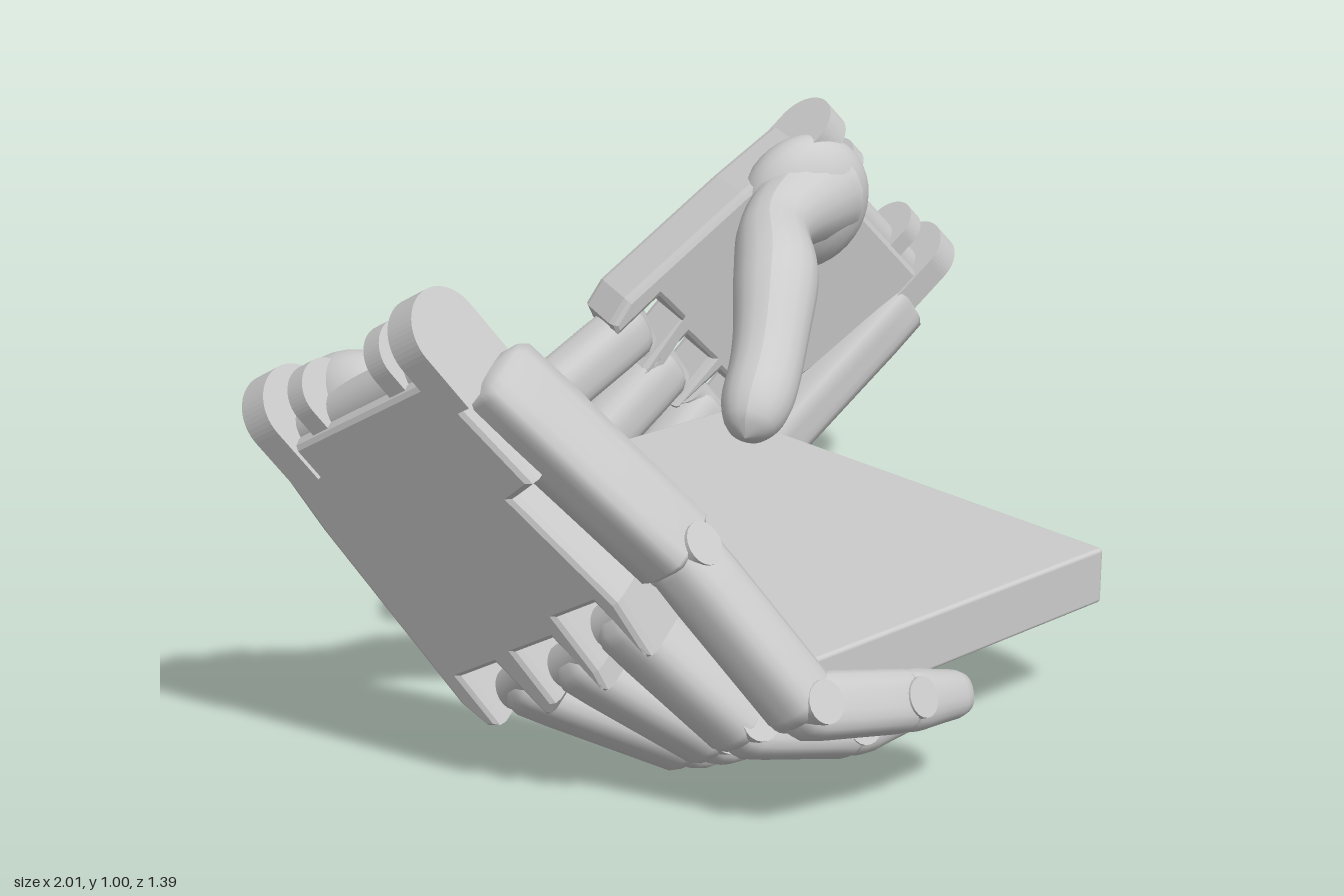
import * as THREE from 'three';
import { RoundedBoxGeometry } from 'three/addons/geometries/RoundedBoxGeometry.js';

const material = new THREE.MeshStandardMaterial({ color: 0xcccccc });
const V = (p) => new THREE.Vector3(...p);

function add(parent, name, geometry) {
  const mesh = new THREE.Mesh(geometry, material);
  mesh.name = name;
  parent.add(mesh);
  return mesh;
}

// Right-handed frame at origin: y runs along dir, x stays as near as possible to side
function frame(origin, dir, side) {
  const y = dir.clone().normalize();
  const x = side.clone().addScaledVector(y, -side.dot(y)).normalize();
  return new THREE.Matrix4().makeBasis(x, y, x.clone().cross(y)).setPosition(origin);
}

// Tapered limb between two points with a squared-off round section and domed ends
function limb(a, b, r0, r1, side, power, dome, flat = 0.92) {
  const L = a.distanceTo(b);
  const profile = [
    [0, -dome * r0], [0.55 * r0, -dome * 0.88 * r0], [0.85 * r0, -dome * 0.5 * r0], [r0 * 0.98, 0],
    [r0, 0.2 * L], [r0 * 0.45 + r1 * 0.55, 0.6 * L], [r1, L],
    [0.85 * r1, L + dome * 0.5 * r1], [0.55 * r1, L + dome * 0.88 * r1], [0, L + dome * r1],
  ].map(([x, y]) => new THREE.Vector2(x, y));
  const g = new THREE.LatheGeometry(profile, 24);
  const p = g.attributes.position;
  for (let i = 0; i < p.count; i++) {
    const x = p.getX(i), z = p.getZ(i), r = Math.hypot(x, z);
    if (r < 1e-6) continue;
    const k = Math.pow(Math.abs(x / r) ** power + Math.abs(z / r) ** power, -1 / power);
    p.setX(i, x * k * flat);
    p.setZ(i, z * k * 0.92);
  }
  g.computeVertexNormals();
  return g.applyMatrix4(frame(a, b.clone().sub(a), side));
}

// Hinge pin across a joint
function pin(at, dir, side, r, width) {
  const g = new THREE.CylinderGeometry(r, r, width, 20);
  g.rotateZ(Math.PI / 2);
  return g.applyMatrix4(frame(at, dir, side));
}

// Finger: chain of limbs with hinge pins at the joints
function finger(parent, name, points, radii, side) {
  const group = new THREE.Group();
  group.name = name;
  const pts = points.map(V);
  for (let i = 0; i < pts.length - 1; i++) {
    const dir = pts[i + 1].clone().sub(pts[i]);
    const last = i === pts.length - 2;
    const start = pts[i].clone().addScaledVector(dir, 0.04);
    const end = pts[i + 1].clone().addScaledVector(dir, last ? 0 : -0.04);
    add(group, 'segment', limb(start, end, radii[i], radii[i + 1], side, last ? 2.5 : 3.2, last ? 0.9 : 0.6));
    add(group, 'hingePin', pin(pts[i], dir, side, radii[i] * 0.6, radii[i] * 1.86));
  }
  parent.add(group);
}

// Thumb: one curved tube, flared at the root, swollen at the joint, closed in a blunt tip
function thumbTube(points) {
  const curve = new THREE.CatmullRomCurve3(points.map(V), false, 'centripetal');
  const rings = 48, sides = 18;
  const g = new THREE.TubeGeometry(curve, rings, 1, sides);
  const p = g.attributes.position;
  const v = new THREE.Vector3();
  for (let i = 0; i <= rings; i++) {
    const t = i / rings, centre = curve.getPointAt(t);
    const body = 0.072 + 0.014 * Math.exp(-(((t - 0.5) / 0.16) ** 2)) + 0.04 * Math.max(0, 1 - t / 0.28) ** 1.5;
    const tip = Math.sqrt(Math.max(0, 1 - Math.max(0, (t - 0.84) / 0.16) ** 2.4));
    for (let j = 0; j <= sides; j++) {
      const n = i * (sides + 1) + j;
      v.fromBufferAttribute(p, n).sub(centre).multiplyScalar(body * tip).add(centre);
      p.setXYZ(n, v.x, v.y, v.z);
    }
  }
  g.computeVertexNormals();
  return g;
}

// Wrist lobe: a stadium plate standing across the palm
function lobe(r, width) {
  const s = new THREE.Shape();
  s.moveTo(r, 0.07);
  s.lineTo(r, -0.035);
  s.absarc(0, -0.035, r, 0, Math.PI, true);
  s.lineTo(-r, 0.07);
  const g = new THREE.ExtrudeGeometry(s, { depth: width, bevelEnabled: false, curveSegments: 14 });
  g.translate(0, 0, -width / 2);
  return g.rotateY(Math.PI / 2);
}

function hand({ name, wristThumb, wristLittle, fingers, thumb, facing }) {
  const group = new THREE.Group();
  group.name = name;
  const wt = V(wristThumb), wl = V(wristLittle);
  const side = wl.clone().sub(wt);
  const width = side.length();
  side.normalize();
  const m = frame(wt, V(fingers.index[0]).sub(wt), side);
  const inv = m.clone().invert();
  const local = (p) => V(p).applyMatrix4(inv);

  // Palm plate with a slot for each of three fingers and webs between them
  const knuckleLittle = local(fingers.little[0]);
  const s = new THREE.Shape();
  s.moveTo(-0.04, 0.0);
  s.lineTo(width, 0.0);
  s.lineTo(width + 0.02, 0.24);
  s.lineTo(width - 0.04, 0.25);
  s.lineTo(knuckleLittle.x - 0.065, knuckleLittle.y - 0.02);
  for (const f of ['ring', 'middle', 'index']) {
    const k = local(fingers[f][0]);
    s.lineTo(k.x + 0.07, k.y + 0.05);
    s.lineTo(k.x + 0.055, k.y + 0.05);
    s.lineTo(k.x + 0.045, k.y - 0.08);
    s.lineTo(k.x - 0.045, k.y - 0.08);
    s.lineTo(k.x - 0.055, k.y + 0.04);
  }
  const outer = local(fingers.index[0]);
  s.lineTo(outer.x - 0.085, outer.y + 0.03);
  s.lineTo(outer.x - 0.1, outer.y - 0.03);
  s.lineTo(-0.065, 0.16);
  const plate = new THREE.ExtrudeGeometry(s, {
    depth: 0.1, bevelThickness: 0.018, bevelSize: 0.012, bevelOffset: -0.012, bevelSegments: 2,
  });
  plate.translate(0, 0, -0.05);
  add(group, 'palm', plate.applyMatrix4(m));

  // Forked wrist
  for (const [t, r, w] of [[0, 0.075, 0.06], [0.24, 0.058, 0.04], [0.76, 0.058, 0.04], [1, 0.075, 0.06]]) {
    add(group, 'wristLobe', lobe(r, w).translate(t * width, 0, 0).applyMatrix4(m));
  }
  const core = new THREE.CylinderGeometry(0.045, 0.045, width, 20).rotateZ(Math.PI / 2);
  add(group, 'wristCore', core.translate(width / 2, 0.01, 0).applyMatrix4(m));

  // Side bar that carries the little finger
  const barStart = new THREE.Vector3(width + 0.02, 0.08, 0.02 * facing).applyMatrix4(m);
  const barEnd = V(fingers.little[0]).lerp(barStart, 0.04);
  add(group, 'sideBar', limb(barStart, barEnd, 0.076, 0.074, side, 7, 0.3, 0.72));

  // Flattened dome that carries the thumb
  const dome = new THREE.SphereGeometry(0.15, 28, 20).scale(0.98, 1, 0.64);
  add(group, 'thumbMount', dome.translate(0.075, 0.075, 0.05 * facing).applyMatrix4(m));
  add(group, 'thumb', thumbTube(thumb));

  for (const [f, pts] of Object.entries(fingers)) {
    finger(group, f + 'Finger', pts, [0.064, 0.063, 0.06, 0.048], side);
  }
  return group;
}

export function createModel() {
  const model = new THREE.Group();
  model.name = 'handsHoldingSlab';

  // Slab held between the hands
  add(model, 'slab', new RoundedBoxGeometry(0.75, 0.11, 1.07, 2, 0.008)).position.set(0.025, 0.27, 0.037);

  model.add(hand({
    name: 'rightHand',
    facing: 1,
    wristThumb: [-0.905, 0.7, -0.1],
    wristLittle: [-0.815, 0.855, 0.25],
    fingers: {
      index: [[-0.62, 0.22, 0.12], [-0.365, 0.07, 0.265], [-0.2, 0.095, 0.285], [-0.07, 0.125, 0.285]],
      middle: [[-0.6, 0.3, 0.25], [-0.4, 0.13, 0.37], [-0.2, 0.13, 0.395], [-0.06, 0.14, 0.4]],
      ring: [[-0.58, 0.4, 0.35], [-0.42, 0.19, 0.47], [-0.22, 0.14, 0.52], [-0.08, 0.14, 0.53]],
      little: [[-0.54, 0.53, 0.45], [-0.41, 0.27, 0.61], [-0.2, 0.22, 0.63], [-0.07, 0.19, 0.625]],
    },
    thumb: [[-0.78, 0.66, -0.04], [-0.62, 0.52, -0.12], [-0.5, 0.41, -0.165], [-0.4, 0.27, -0.18], [-0.27, 0.13, -0.175]],
  }));

  model.add(hand({
    name: 'leftHand',
    facing: -1,
    wristThumb: [0.6, 0.875, -0.475],
    wristLittle: [0.9, 0.54, -0.45],
    fingers: {
      index: [[0.25, 0.52, -0.61], [-0.05, 0.38, -0.615], [-0.22, 0.27, -0.58], [-0.34, 0.19, -0.54]],
      middle: [[0.32, 0.42, -0.59], [0.05, 0.24, -0.6], [-0.06, 0.16, -0.55], [-0.15, 0.13, -0.47]],
      ring: [[0.4, 0.32, -0.555], [0.17, 0.14, -0.55], [0.08, 0.12, -0.45], [0.02, 0.13, -0.34]],
      little: [[0.5, 0.21, -0.49], [0.26, 0.07, -0.34], [0.14, 0.11, -0.16], [0.1, 0.13, -0.03]],
    },
    thumb: [[0.62, 0.78, -0.44], [0.43, 0.75, -0.36], [0.31, 0.69, -0.23], [0.18, 0.56, -0.12], [0.06, 0.46, -0.05]],
  }));
  return model;
}
